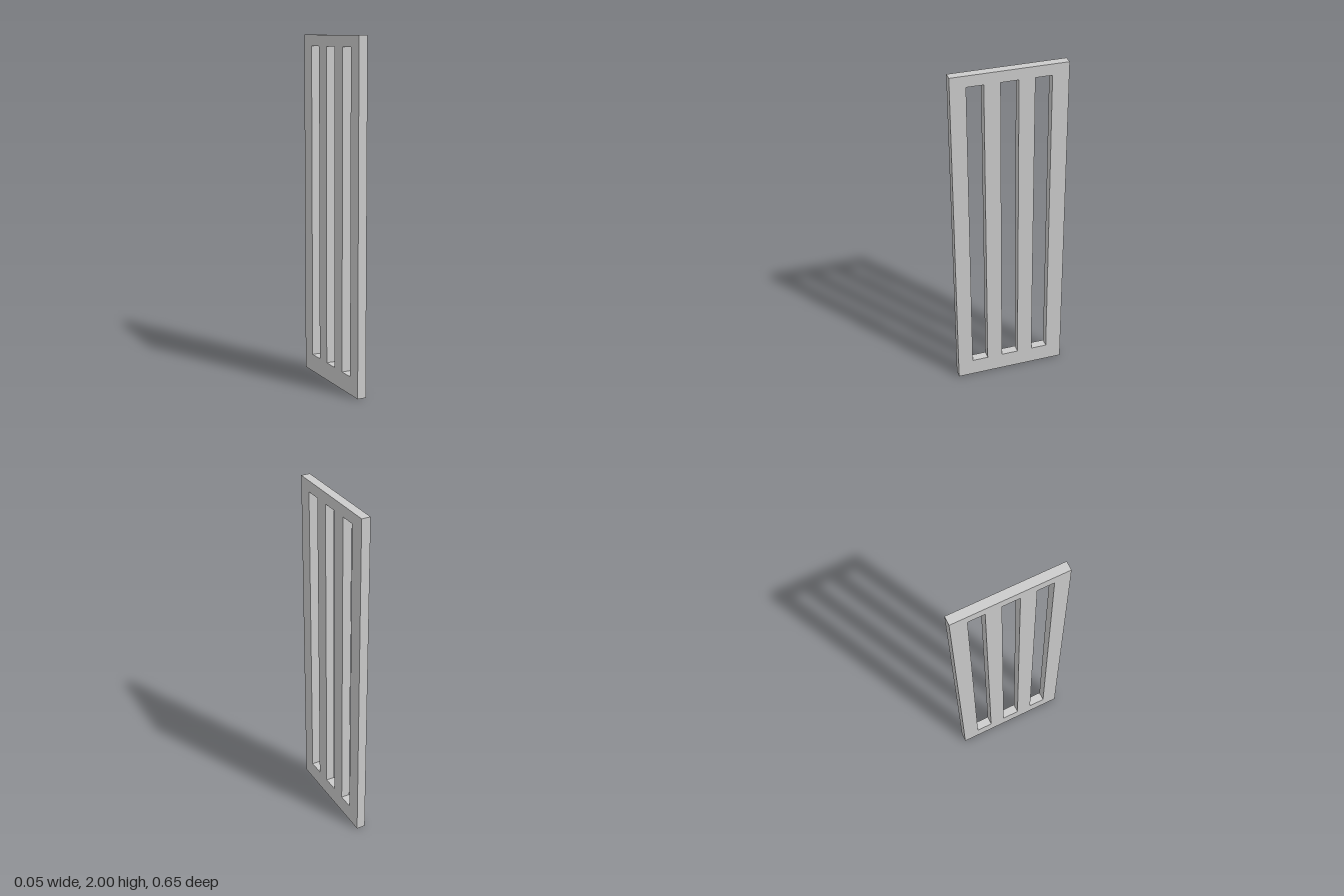
import * as THREE from 'three';

const HALF_WIDTH = 0.327, HEIGHT = 2, THICKNESS = 0.052;
const SLOT_BOTTOM = 0.104, SLOT_TOP = 1.936;
const SLOTS = [[-0.233, -0.138], [-0.048, 0.052], [0.143, 0.238]];

// Trace a rectangle into a Shape or Path
function rectangle(path, x0, y0, x1, y1) {
  path.moveTo(x0, y0);
  path.lineTo(x1, y0);
  path.lineTo(x1, y1);
  path.lineTo(x0, y1);
  path.closePath();
  return path;
}

export function createModel() {
  const group = new THREE.Group();
  group.name = 'slottedPanel';

  // Outer frame with three tall slots between the upright bars
  const outline = rectangle(new THREE.Shape(), -HALF_WIDTH, 0, HALF_WIDTH, HEIGHT);
  for (const [from, to] of SLOTS) {
    outline.holes.push(rectangle(new THREE.Path(), from, SLOT_BOTTOM, to, SLOT_TOP));
  }

  // Extrude, centre the thickness, then turn the panel so its width runs along z
  const geometry = new THREE.ExtrudeGeometry(outline, { depth: THICKNESS, bevelEnabled: false });
  geometry.translate(0, 0, -THICKNESS / 2);
  geometry.rotateY(-Math.PI / 2);

  const panel = new THREE.Mesh(
    geometry,
    new THREE.MeshStandardMaterial({ color: 0xcccccc, flatShading: true })
  );
  panel.name = 'barredPanel';
  group.add(panel);
  return group;
}
